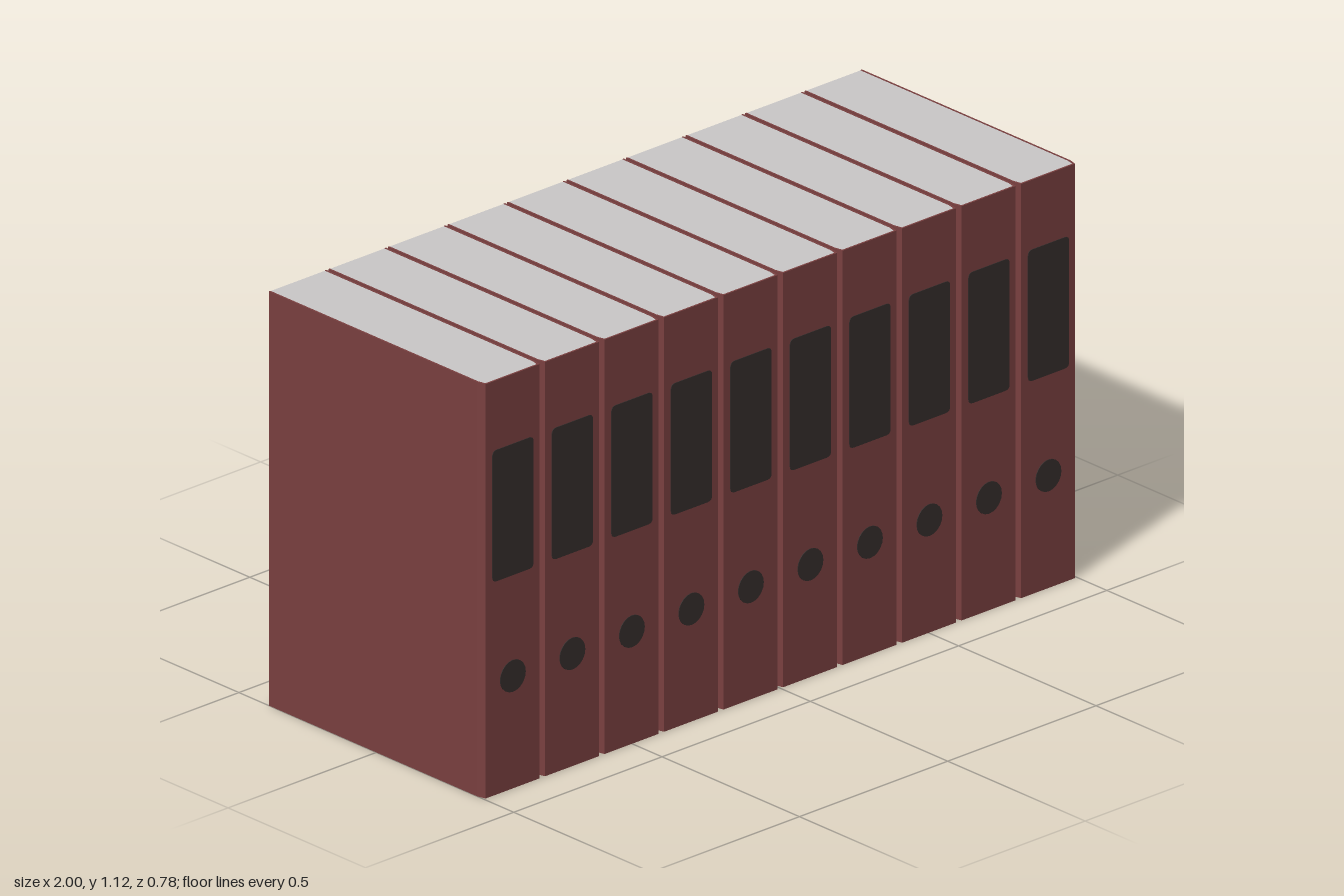
import * as THREE from 'three';

const COUNT = 10, W = 0.194, H = 1.12, D = 0.391, T = 0.005;
const PITCH = (2 - W) / (COUNT - 1);

// Dark plate with rounded corners for the spine label
function roundedRect(w, h, r) {
  const s = new THREE.Shape(), x = w / 2, y = h / 2;
  s.moveTo(-x + r, -y);
  s.lineTo(x - r, -y).quadraticCurveTo(x, -y, x, -y + r);
  s.lineTo(x, y - r).quadraticCurveTo(x, y, x - r, y);
  s.lineTo(-x + r, y).quadraticCurveTo(-x, y, -x, y - r);
  s.lineTo(-x, -y + r).quadraticCurveTo(-x, -y, -x + r, -y);
  return s;
}

// Points of one U-shaped wall, open at the back, with chamfered spine corners
function uPoints(halfWidth, front, chamferX, chamferZ) {
  return [
    [-halfWidth, D], [-halfWidth, -front + chamferZ], [-halfWidth + chamferX, -front],
    [halfWidth - chamferX, -front], [halfWidth, -front + chamferZ], [halfWidth, D],
  ].map(([x, y]) => new THREE.Vector2(x, y));
}

export function createModel() {
  const red = new THREE.MeshStandardMaterial({ color: 0x7a4040 });
  red.name = 'coverRed';
  const paper = new THREE.MeshStandardMaterial({ color: 0xcac8c8 });
  paper.name = 'paperGrey';
  const dark = new THREE.MeshStandardMaterial({ color: 0x352d2c });
  dark.name = 'labelDark';

  // Cover: U profile extruded upwards
  const outer = uPoints(W / 2, D, 0.006, 0.024);
  const inner = uPoints(W / 2 - T, D - T, 0.005, 0.022).reverse();
  const coverGeo = new THREE.ExtrudeGeometry(new THREE.Shape([...outer, ...inner]), { depth: H, bevelEnabled: false });
  coverGeo.rotateX(-Math.PI / 2);

  // Page block filling the cover
  const pages = new THREE.Shape(uPoints(W / 2 - T, D - T, 0.005, 0.022));
  const pagesGeo = new THREE.ExtrudeGeometry(pages, { depth: H - 0.002, bevelEnabled: false });
  pagesGeo.rotateX(-Math.PI / 2).translate(0, 0.001, 0);

  // Spine details
  const plate = { depth: 0.003, bevelEnabled: false, curveSegments: 4 };
  const labelGeo = new THREE.ExtrudeGeometry(roundedRect(0.138, 0.355, 0.014), plate);
  const holeGeo = new THREE.CylinderGeometry(0.043, 0.043, 0.003, 20).rotateX(Math.PI / 2);

  const model = new THREE.Group();
  model.name = 'binderRow';
  for (let i = 0; i < COUNT; i++) {
    const binder = new THREE.Group();
    binder.name = 'binder' + (i + 1);
    binder.position.x = -1 + W / 2 + i * PITCH;
    const add = (name, geo, mat, y = 0, z = 0) => {
      const mesh = new THREE.Mesh(geo, mat);
      mesh.name = name;
      mesh.position.set(0, y, z);
      binder.add(mesh);
    };
    add('cover', coverGeo, red);
    add('pages', pagesGeo, paper);
    add('spineLabel', labelGeo, dark, 0.755, D - 0.001);
    add('fingerHole', holeGeo, dark, 0.305, D + 0.0005);
    model.add(binder);
  }
  return model;
}
